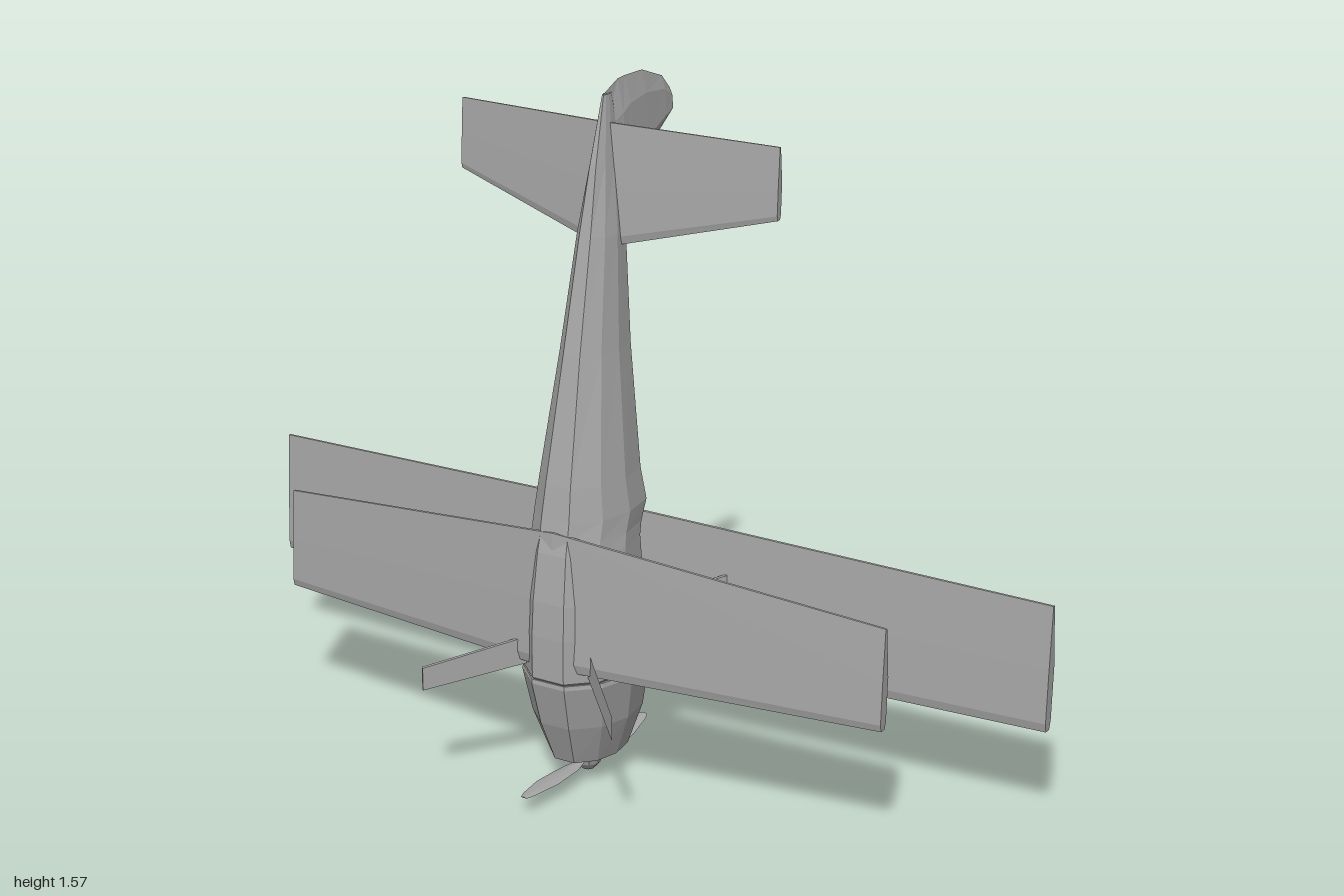
import * as THREE from 'three';

const grey = new THREE.MeshStandardMaterial({ color: 0xa6a6a6, flatShading: true });
grey.name = 'plain grey';

// Closed skin through rings of [x, y, z] points, with fan caps, facing outward
function loft(name, rings) {
  const tris = [];
  const n = rings[0].length;
  for (let i = 0; i < rings.length - 1; i++) {
    for (let j = 0; j < n; j++) {
      const k = (j + 1) % n;
      const a = rings[i][j], b = rings[i][k], c = rings[i + 1][k], d = rings[i + 1][j];
      tris.push([a, b, c], [a, c, d]);
    }
  }
  const last = rings[rings.length - 1];
  for (let j = 1; j < n - 1; j++) {
    tris.push([rings[0][0], rings[0][j + 1], rings[0][j]], [last[0], last[j], last[j + 1]]);
  }
  const v = (p) => new THREE.Vector3(...p);
  const volume = tris.reduce((s, [a, b, c]) => s + v(a).dot(v(b).cross(v(c))), 0);
  if (volume < 0) tris.forEach((t) => t.reverse());
  const geometry = new THREE.BufferGeometry();
  geometry.setAttribute('position', new THREE.Float32BufferAttribute(tris.flat(2), 3));
  geometry.computeVertexNormals();
  return part(name, geometry);
}

function part(name, geometry, x = 0, y = 0, z = 0) {
  const mesh = new THREE.Mesh(geometry, grey);
  mesh.name = name;
  mesh.position.set(x, y, z);
  return mesh;
}

// Fuselage ring: half width, belly z, back z, depth of the cockpit recess
function bodyRing([y, w, belly, back, dip = 0]) {
  const half = [[0.32, 0], [0.8, 0.2], [1, 0.48], [0.9, 0.8], [0.5, 1]]
    .map(([fx, t]) => [fx * w, y, belly + (back - belly) * t]);
  half.push([0.42 * w, y, back + dip]);
  const other = half.map(([x, py, z]) => [-x, py, z]).reverse();
  return [...half, ...other];
}

// Blunt-nosed aerofoil ring: chord runs from lead to trail along y
function wingRing([x, lead, trail, z, thick]) {
  return [[0, 0.35], [0, -0.2], [0.07, -0.4], [0.5, -0.55], [1, -0.1], [1, 0.1], [0.5, 0.35], [0.07, 0.5]]
    .map(([c, t]) => [x, lead + (trail - lead) * c, z + t * thick]);
}

function wing(name, tip, root) {
  return loft(name, [[-tip[0], ...tip.slice(1)], root, tip].map(wingRing));
}

// Thin slanted plate between two [x, yLow, yHigh, z] ends
function strut(name, ends) {
  const t = 0.003;
  return loft(name, ends.map(([x, lo, hi, z]) => [
    [x - t, lo, z - t], [x + t, lo, z + t], [x + t, hi, z + t], [x - t, hi, z - t],
  ]));
}

export function createModel() {
  const model = new THREE.Group();
  model.name = 'biplane';

  // Engine cowl and body, with a small step between them
  model.add(loft('cowl', [
    [0.06, 0.078, 0.12, -0.075],
    [0.16, 0.113, 0.16, -0.1],
    [0.265, 0.13, 0.188, -0.108],
    [0.275, 0.128, 0.187, -0.108],
  ].map((s) => bodyRing(s))));
  model.add(loft('fuselage', [
    [0.27, 0.118, 0.18, -0.1],
    [0.28, 0.125, 0.188, -0.1],
    [0.37, 0.125, 0.188, -0.1],
    [0.38, 0.125, 0.188, -0.1, 0.08],
    [0.46, 0.122, 0.184, -0.09, 0.08],
    [0.57, 0.112, 0.17, -0.085, 0.08],
    [0.6, 0.109, 0.163, -0.095],
    [0.645, 0.109, 0.155, -0.12],
    [0.72, 0.098, 0.143, -0.105],
    [1.0, 0.065, 0.087, -0.098],
    [1.25, 0.044, 0.033, -0.096],
    [1.4, 0.024, 0, -0.1],
    [1.545, 0.006, -0.04, -0.07],
  ].map((s) => bodyRing(s))));

  // Wings and tail, swept toward the back at their tips
  model.add(wing('upperWing', [1, 0.238, 0.528, -0.235, 0.03], [0, 0.238, 0.562, -0.18, 0.036]));
  model.add(wing('lowerWing', [0.76, 0.303, 0.535, 0.073, 0.028], [0, 0.303, 0.62, 0.162, 0.034]));
  model.add(wing('tailplane', [0.395, 1.316, 1.474, -0.1, 0.018], [0, 1.21, 1.485, -0.05, 0.028]));

  // Fin: z, low y, high y, half thickness
  model.add(loft('fin', [
    [-0.04, 1.24, 1.545, 0.012],
    [-0.1, 1.275, 1.568, 0.022],
    [-0.13, 1.33, 1.569, 0.021],
    [-0.2, 1.37, 1.566, 0.018],
    [-0.285, 1.42, 1.535, 0.013],
    [-0.32, 1.442, 1.5, 0.009],
  ].map(([z, lo, hi, w]) => {
    const at = (f) => lo + (hi - lo) * f;
    return [[0, lo, z], [w, at(0.25), z], [w * 0.7, at(0.75), z], [0, hi, z],
      [-w * 0.7, at(0.75), z], [-w, at(0.25), z]];
  })));

  // Paired struts, legs and gun barrels
  for (const s of [-1, 1]) {
    const side = s > 0 ? 'left' : 'right';
    model.add(strut(side + 'WingStrut', [[s * 0.095, 0.35, 0.41, -0.035], [s * 0.235, 0.39, 0.45, -0.185]]));
    model.add(strut(side + 'Leg', [[s * 0.08, 0.292, 0.355, 0.15], [s * 0.242, 0.252, 0.305, 0.318]]));
    model.add(part(side + 'Gun', new THREE.CylinderGeometry(0.016, 0.016, 0.15, 8), s * 0.055, 0.25, -0.115));
    model.add(part(side + 'Muzzle', new THREE.CylinderGeometry(0.008, 0.008, 0.03, 8), s * 0.055, 0.165, -0.115));
  }

  // Spinner and two-blade propeller
  const profile = [[0, 0], [0.014, 0.004], [0.028, 0.02], [0.033, 0.034], [0.028, 0.046], [0.038, 0.062]]
    .map(([r, y]) => new THREE.Vector2(r, y));
  model.add(part('spinner', new THREE.LatheGeometry(profile, 10), 0, 0, 0.02));
  for (const s of [-1, 1]) {
    // Blade stations: distance from hub, half chord, twist, half thickness
    model.add(loft('propellerBlade', [
      [0, 0.012, 0.012, 0.006], [0.08, 0.03, 0.008, 0.004], [0.16, 0.029, 0.004, 0.003],
      [0.235, 0.016, 0.001, 0.002], [0.257, 0.008, 0, 0.001],
    ].map(([d, w, tw, t]) => {
      const z = 0.03 + s * d, y = 0.029 + d * 0.04;
      return [[-w, y - s * tw, z], [0, y - t, z], [w, y + s * tw, z], [0, y + t, z]];
    })));
  }
  return model;
}
